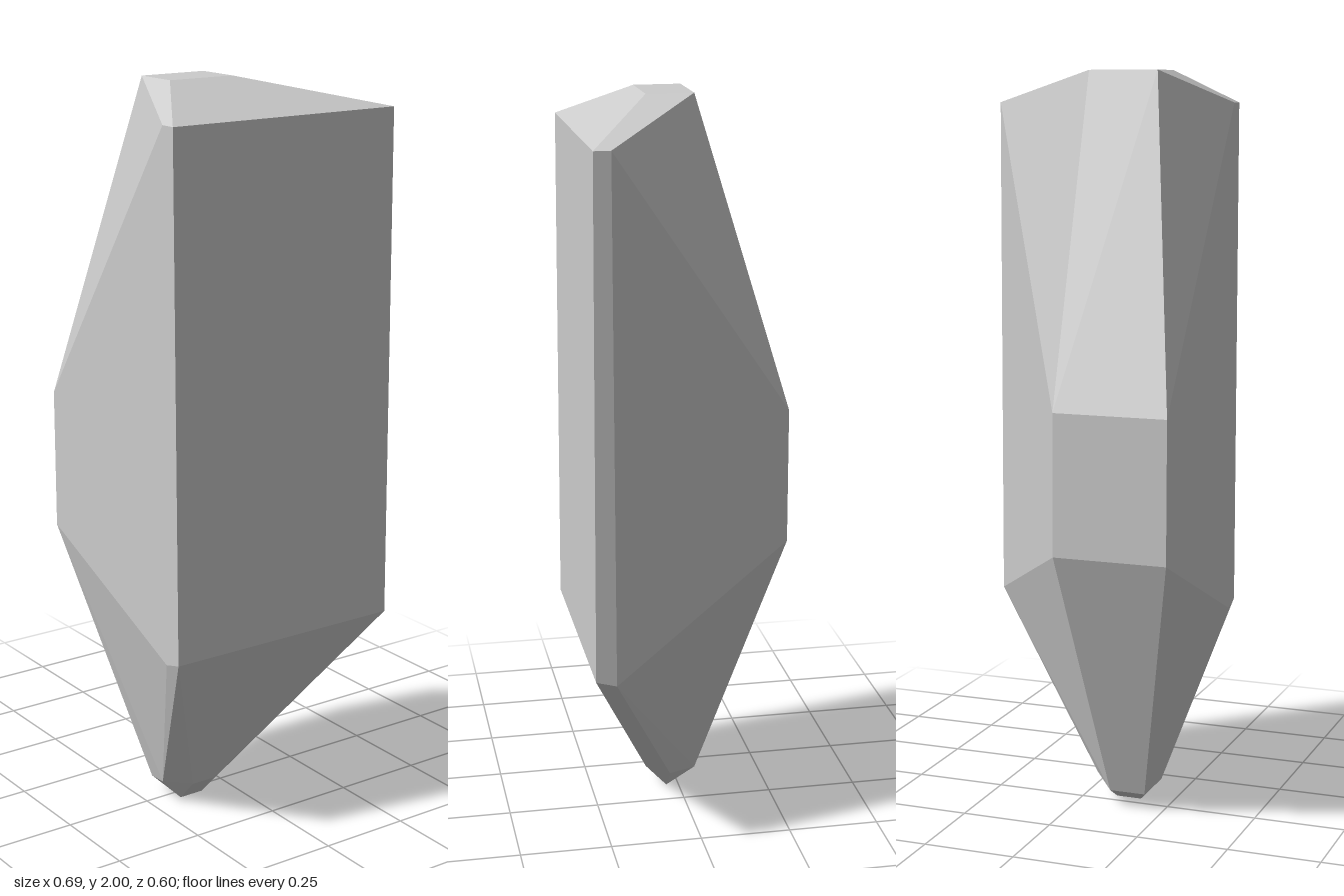
import * as THREE from 'three';
import { ConvexGeometry } from 'three/addons/geometries/ConvexGeometry.js';

// Two corners sharing the same height and depth
const edge = (x0, x1, y, z) => [new THREE.Vector3(x0, y, z), new THREE.Vector3(x1, y, z)];

export function createModel() {
  const group = new THREE.Group();
  group.name = 'crystalShard';

  const corners = [
    // flat top facet
    ...edge(-0.22, -0.03, 2, -0.033),
    ...edge(-0.22, -0.03, 2, 0.095),
    // upper shoulder: front face and its narrow side bevels
    ...edge(-0.343, 0.343, 1.915, 0.29),
    ...edge(-0.343, 0.343, 1.915, 0.245),
    // back ridge
    ...edge(-0.343, -0.032, 1.13, -0.3),
    ...edge(-0.343, -0.032, 0.75, -0.3),
    // lower shoulder
    ...edge(-0.343, 0.343, 0.53, 0.3),
    ...edge(-0.343, 0.343, 0.515, 0.245),
    // small bevelled tip
    ...edge(-0.16, -0.09, 0.065, 0.095),
    ...edge(-0.22, -0.03, 0.065, 0.035),
    ...edge(-0.2, -0.1, 0.045, -0.05),
    ...edge(-0.16, -0.09, 0, 0.035),
  ];

  const crystal = new THREE.Mesh(
    new ConvexGeometry(corners),
    new THREE.MeshStandardMaterial({ color: 0xcccccc, flatShading: true })
  );
  crystal.name = 'crystal';
  group.add(crystal);
  return group;
}
